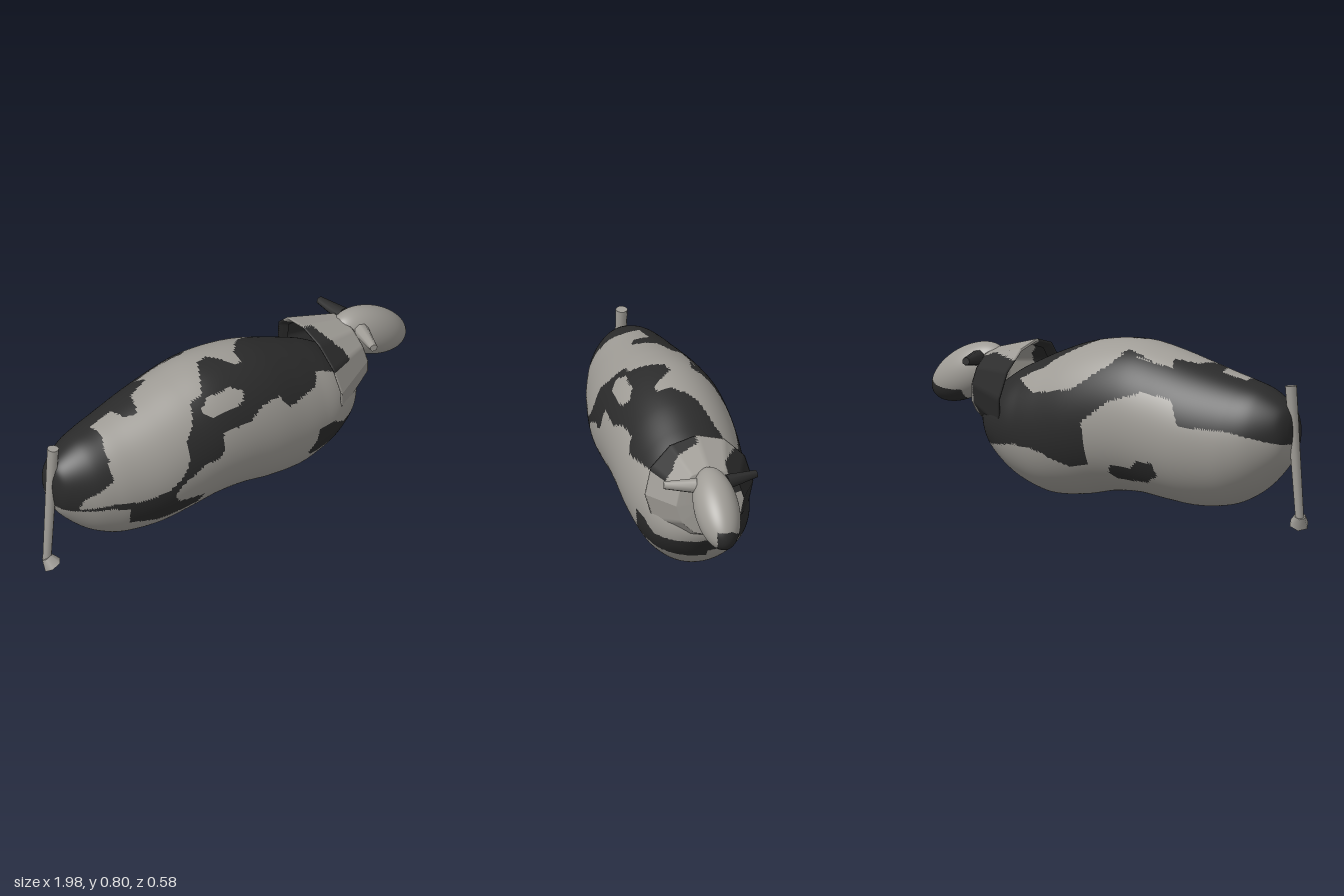
import * as THREE from 'three';

const paleHide = new THREE.MeshStandardMaterial({ color: 0x9f9c96, side: THREE.DoubleSide });
paleHide.name = 'pale hide';
const darkHide = new THREE.MeshStandardMaterial({ color: 0x2b2b2b, side: THREE.DoubleSide });
darkHide.name = 'dark hide';

// Body stations: x, bottom, top, half width
const STATIONS = [
  [-0.945, 0.44, 0.44, 0], [-0.935, 0.36, 0.51, 0.055], [-0.9, 0.275, 0.56, 0.11], [-0.8, 0.17, 0.62, 0.18],
  [-0.7, 0.105, 0.65, 0.22], [-0.6, 0.07, 0.675, 0.245], [-0.45, 0.056, 0.715, 0.273], [-0.3, 0.07, 0.755, 0.284],
  [-0.15, 0.09, 0.783, 0.289], [0, 0.085, 0.778, 0.289], [0.15, 0.057, 0.75, 0.284], [0.3, 0.046, 0.695, 0.268],
  [0.4, 0.068, 0.65, 0.252], [0.5, 0.115, 0.6, 0.23], [0.6, 0.195, 0.53, 0.18], [0.66, 0.275, 0.47, 0.115],
  [0.69, 0.33, 0.42, 0.06], [0.7, 0.375, 0.375, 0],
];

// Patch outlines on the +z flank (x, y)
const FRONT_PATCHES = [
  [[-1, 0.33], [-0.74, 0.345], [-0.655, 0.32], [-0.645, 0.23], [-0.5, 0.19], [-0.29, 0.2], [-0.265, 0.255],
    [-0.4, 0.28], [-0.44, 0.32], [-0.39, 0.385], [-0.28, 0.445], [-0.21, 0.45], [-0.18, 0.49], [-0.17, 0.57],
    [-0.09, 0.565], [-0.02, 0.57], [0.06, 0.61], [0.16, 0.605], [0.2, 0.54], [0.38, 0.55], [0.44, 0.62], [0.6, 0.65],
    [0.6, 0.9], [-0.15, 0.9], [-0.26, 0.74], [-0.31, 0.63], [-0.355, 0.58], [-0.355, 0.5], [-0.39, 0.43],
    [-0.47, 0.365], [-0.6, 0.35], [-0.72, 0.37], [-0.87, 0.35], [-0.85, 0.41], [-0.72, 0.49], [-0.73, 0.58],
    [-0.7, 0.65], [-0.7, 0.9], [-1, 0.9]],
  [[0.36, 0.35], [0.45, 0.345], [0.52, 0.3], [0.62, 0.31], [0.68, 0.32], [0.72, 0.36], [0.74, 0.22], [0.5, 0.205],
    [0.33, 0.2], [0.31, 0.23], [0.35, 0.29]],
];
const FRONT_HOLE = [[-0.245, 0.675], [-0.2, 0.715], [-0.07, 0.72], [-0.015, 0.69], [-0.035, 0.655], [-0.2, 0.64]];

// Patch outlines on the -z flank (x, y)
const BACK_PATCHES = [
  [[0.74, 0.22], [0.6, 0.265], [0.42, 0.29], [0.3, 0.28], [0.11, 0.21], [0.01, 0.23], [0.02, 0.43], [-0.11, 0.53],
    [-0.29, 0.59], [-0.43, 0.56], [-0.48, 0.45], [-0.71, 0.44], [-1, 0.36], [-1, 0.9], [-0.3, 0.9], [-0.3, 0.7],
    [-0.13, 0.74], [-0.05, 0.67], [0.09, 0.57], [0.31, 0.53], [0.45, 0.58], [0.74, 0.55]],
  [[-0.08, 0.2], [-0.1, 0.24], [-0.2, 0.23], [-0.25, 0.27], [-0.34, 0.27], [-0.35, 0.21], [-0.28, 0.17], [-0.12, 0.17]],
];

// Patch outlines along the spine (x, z)
const TOP_PATCHES = [
  [[-1, 0.2], [-0.7, 0.2], [-0.72, 0.12], [-0.69, 0.05], [-0.7, -0.03], [-0.58, -0.04], [-0.56, 0.04], [-0.5, 0.06],
    [-0.46, -0.05], [-0.35, -0.09], [-0.38, -0.14], [-0.28, -0.15], [-0.13, -0.12], [-0.07, -0.2], [-1, -0.2]],
  [[-0.24, 0.2], [-0.13, 0], [-0.08, -0.01], [0.02, 0.09], [0.05, 0.08], [0.05, 0.02], [0.14, -0.08], [0.27, -0.13],
    [0.35, -0.2], [0.6, -0.2], [0.6, 0.14], [0.3, 0.16], [0.2, 0.2]],
];

function inside(poly, u, v) {
  let hit = false;
  for (let i = 0, j = poly.length - 1; i < poly.length; j = i++) {
    const [ax, ay] = poly[i], [bx, by] = poly[j];
    if ((ay > v) !== (by > v) && u < ((bx - ax) * (v - ay)) / (by - ay) + ax) hit = !hit;
  }
  return hit;
}
const inAny = (polys, u, v) => polys.some((p) => inside(p, u, v));

function bodyIsDark(x, y, z) {
  if (y > 0.5 && Math.abs(z) < 0.15 && x > -0.85) return inAny(TOP_PATCHES, x, z);
  if (z < 0) return inAny(BACK_PATCHES, x, y);
  return inAny(FRONT_PATCHES, x, y) && !inside(FRONT_HOLE, x, y);
}
const collarIsDark = (x, y, z) =>
  (z < -0.09 && y < 0.66 + 0.1 * (x - 0.5) && x < 0.69) ||
  (z > 0.01 && inside([[0.4, 0.6], [0.58, 0.59], [0.57, 0.63], [0.52, 0.69], [0.46, 0.75], [0.4, 0.75]], x, y));
const headIsDark = (x, y, z) =>
  x > 0.8 && y < 0.525 - 0.05 * Math.max(0, -z - 0.03) / 0.06 && z < 0.04 && z > -0.09;

// Sort a geometry's triangles into a pale group and a dark group
function patchedMesh(name, geometry, isDark) {
  const p = geometry.attributes.position, idx = geometry.index.array;
  const lists = [[], []];
  for (let i = 0; i < idx.length; i += 3) {
    const t = [idx[i], idx[i + 1], idx[i + 2]];
    const mid = (f) => t.reduce((s, k) => s + p[f](k), 0) / 3;
    lists[isDark(mid('getX'), mid('getY'), mid('getZ')) ? 1 : 0].push(...t);
  }
  geometry.setIndex(lists[0].concat(lists[1]));
  geometry.clearGroups();
  geometry.addGroup(0, lists[0].length, 0);
  geometry.addGroup(lists[0].length, lists[1].length, 1);
  const mesh = new THREE.Mesh(geometry, [paleHide, darkHide]);
  mesh.name = name;
  return mesh;
}

// Elliptical loops lofted along x
function bodyGeometry() {
  const N = 200, M = 144, pos = [], index = [];
  const length = new THREE.SplineCurve(STATIONS.map((s) => new THREE.Vector2(s[0], s[3])));
  const height = new THREE.SplineCurve(STATIONS.map((s) => new THREE.Vector2(s[1], s[2])));
  for (let i = 0; i <= N; i++) {
    const a = length.getPoint(i / N), b = height.getPoint(i / N);
    for (let j = 0; j < M; j++) {
      const t = (j / M) * Math.PI * 2;
      pos.push(a.x, (b.x + b.y) / 2 + ((b.y - b.x) / 2) * Math.sin(t), a.y * Math.cos(t));
      if (i === N) continue;
      const k = i * M, n = (j + 1) % M;
      index.push(k + j, k + M + j, k + n, k + M + j, k + M + n, k + n);
    }
  }
  const g = new THREE.BufferGeometry();
  g.setAttribute('position', new THREE.Float32BufferAttribute(pos, 3));
  g.setIndex(index);
  g.computeVertexNormals();
  return g;
}

// Flared twelve-sided neck, finely divided so patches can be cut from it
function collarGeometry() {
  const profile = [new THREE.Vector2(0.215, 0.03), new THREE.Vector2(0.24, 0)];
  for (let i = 0; i <= 24; i++) profile.push(new THREE.Vector2(0.252 - (0.097 * i) / 24, (0.213 * i) / 24));
  profile.push(new THREE.Vector2(0, 0.213));
  const g = new THREE.LatheGeometry(profile, 96), p = g.attributes.position, side = Math.PI / 6;
  for (let i = 0; i < p.count; i++) {
    const a = Math.atan2(p.getZ(i), p.getX(i)) + Math.PI * 2;
    const k = Math.cos(side / 2) / Math.cos((a % side) - side / 2);
    p.setXYZ(i, p.getX(i) * k, p.getY(i), p.getZ(i) * k);
  }
  g.rotateZ(-1.396).translate(0.485, 0.487, 0);
  g.computeVertexNormals();
  return g;
}

// Tapered rod between two points
function rod(name, from, to, r0, r1, sides, material) {
  const a = new THREE.Vector3(...from), b = new THREE.Vector3(...to), d = b.clone().sub(a);
  const mesh = new THREE.Mesh(new THREE.CylinderGeometry(r1, r0, d.length(), sides), material);
  mesh.position.copy(a).add(b).multiplyScalar(0.5);
  mesh.quaternion.setFromUnitVectors(new THREE.Vector3(0, 1, 0), d.normalize());
  mesh.name = name;
  return mesh;
}

export function createModel() {
  const model = new THREE.Group();
  model.name = 'leglessCow';
  model.add(patchedMesh('body', bodyGeometry(), bodyIsDark));
  model.add(patchedMesh('neck', collarGeometry(), collarIsDark));

  // Head tips down toward the muzzle
  const head = new THREE.SphereGeometry(1, 96, 72).scale(0.21, 0.112, 0.101);
  head.rotateZ(-Math.PI / 6).translate(0.807, 0.555, 0);
  model.add(patchedMesh('head', head, headIsDark));

  // Ears
  for (const s of [1, -1]) {
    model.add(rod(s > 0 ? 'frontEar' : 'backEar', [0.715, 0.632, 0.07 * s], [0.685, 0.638, 0.215 * s],
      0.036, 0.018, 8, s > 0 ? paleHide : darkHide));
  }

  // Tail with a flared tuft
  model.add(rod('tail', [-0.92, 0.64, 0], [-0.96, 0.04, 0.01], 0.027, 0.02, 10, paleHide));
  model.add(rod('tailTuft', [-0.963, 0.05, 0.01], [-0.943, 0.008, 0.03], 0.026, 0.046, 6, paleHide));
  return model;
}
